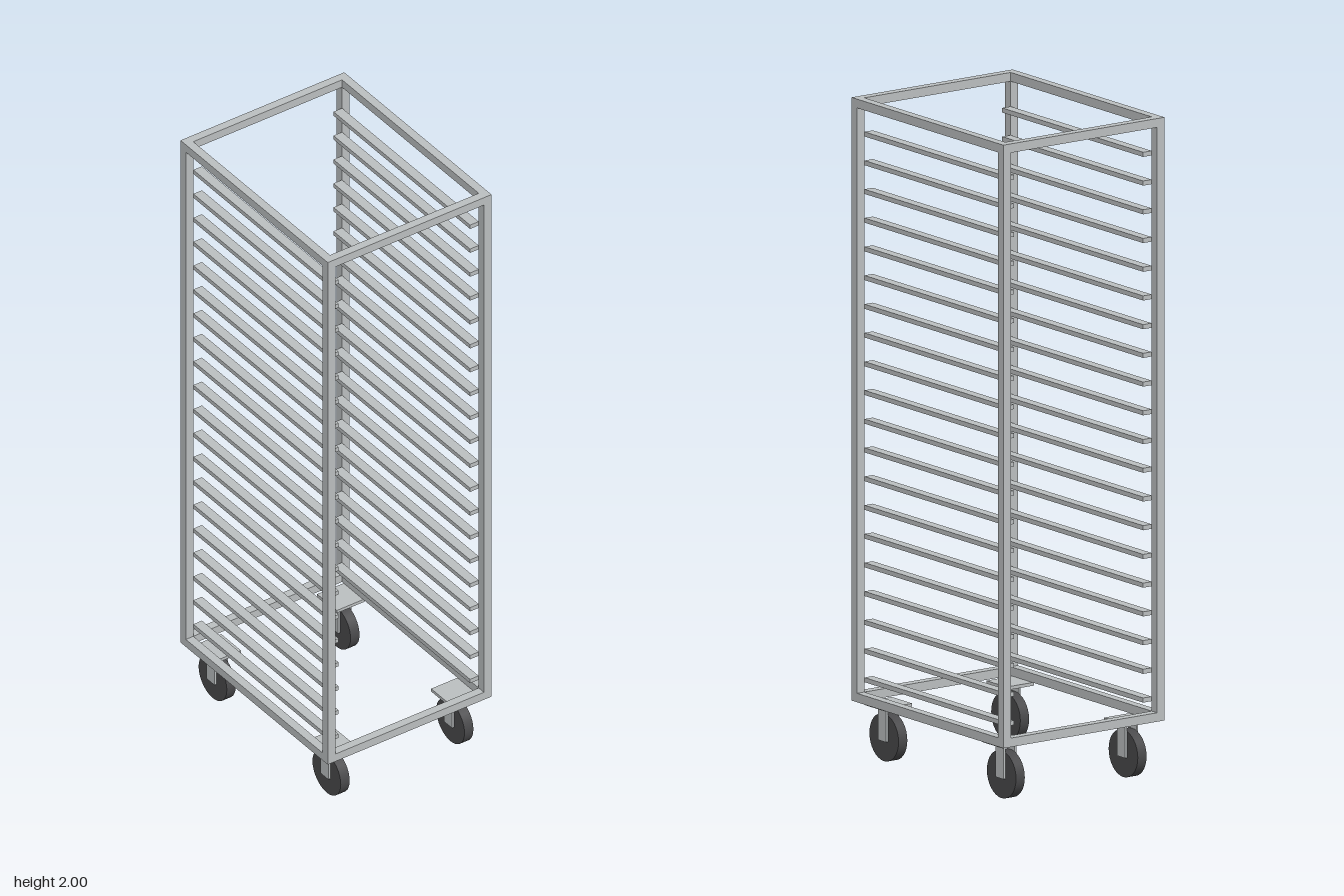
import * as THREE from 'three';

export function createModel() {
  const rack = new THREE.Group();
  rack.name = 'trayRack';

  const steel = new THREE.MeshStandardMaterial({ color: 0xbcc0c1 });
  steel.name = 'brushed steel';
  const rubber = new THREE.MeshStandardMaterial({ color: 0x4a4a4c });
  rubber.name = 'dark rubber';

  const W = 0.295, D = 0.375, T = 0.027;   // half width, half depth, tube size
  const BOTTOM = 0.175, TOP = 2;

  // Box given by its lower and upper limits on each axis
  function box(name, x0, x1, y0, y1, z0, z1, parent = rack) {
    const mesh = new THREE.Mesh(new THREE.BoxGeometry(x1 - x0, y1 - y0, z1 - z0), steel);
    mesh.position.set((x0 + x1) / 2, (y0 + y1) / 2, (z0 + z1) / 2);
    mesh.name = name;
    parent.add(mesh);
  }

  // Top and bottom rectangles of square tube
  for (const [name, y] of [['bottom', BOTTOM], ['top', TOP - T]]) {
    for (const s of [-1, 1]) {
      const z = s * (D - T / 2), x = s * (W - T / 2);
      box(name + 'CrossTube', -W, W, y, y + T, z - T / 2, z + T / 2);
      box(name + 'SideTube', x - T / 2, x + T / 2, y, y + T, -D + T, D - T);
    }
  }

  // Corner posts
  for (const sx of [-1, 1]) for (const sz of [-1, 1]) {
    const x = sx * (W - T / 2), z = sz * (D - T / 2);
    box('cornerPost', x - T / 2, x + T / 2, BOTTOM + T, TOP - T, z - T / 2, z + T / 2);
  }

  // Twenty pairs of tray rails on the inside of the posts
  for (let i = 0; i < 20; i++) {
    const y = 0.239 + i * 0.0869;
    for (const s of [-1, 1]) {
      const x = s * 0.2525;
      box('trayRail', x - 0.0155, x + 0.0155, y - 0.007, y + 0.007, -D + T, D - T);
    }
  }

  // Casters: mounting plate, fork and wheel
  const wheelGeometry = new THREE.CylinderGeometry(0.072, 0.072, 0.032, 32).rotateZ(Math.PI / 2);
  for (const sx of [-1, 1]) for (const sz of [-1, 1]) {
    const caster = new THREE.Group();
    caster.name = 'caster';
    caster.position.set(sx * 0.223, 0, sz * 0.29);
    box('casterPlate', -0.05, 0.05, 0.165, BOTTOM, -0.05, 0.05, caster);
    box('forkCrown', -0.024, 0.024, 0.157, 0.165, -0.02, 0.02, caster);
    for (const s of [-1, 1]) {
      const x = s * 0.0205;
      box('forkArm', x - 0.0035, x + 0.0035, 0.062, 0.157, -0.02, 0.02, caster);
    }
    const wheel = new THREE.Mesh(wheelGeometry, rubber);
    wheel.position.y = 0.072;
    wheel.name = 'wheel';
    caster.add(wheel);
    rack.add(caster);
  }

  return rack;
}
